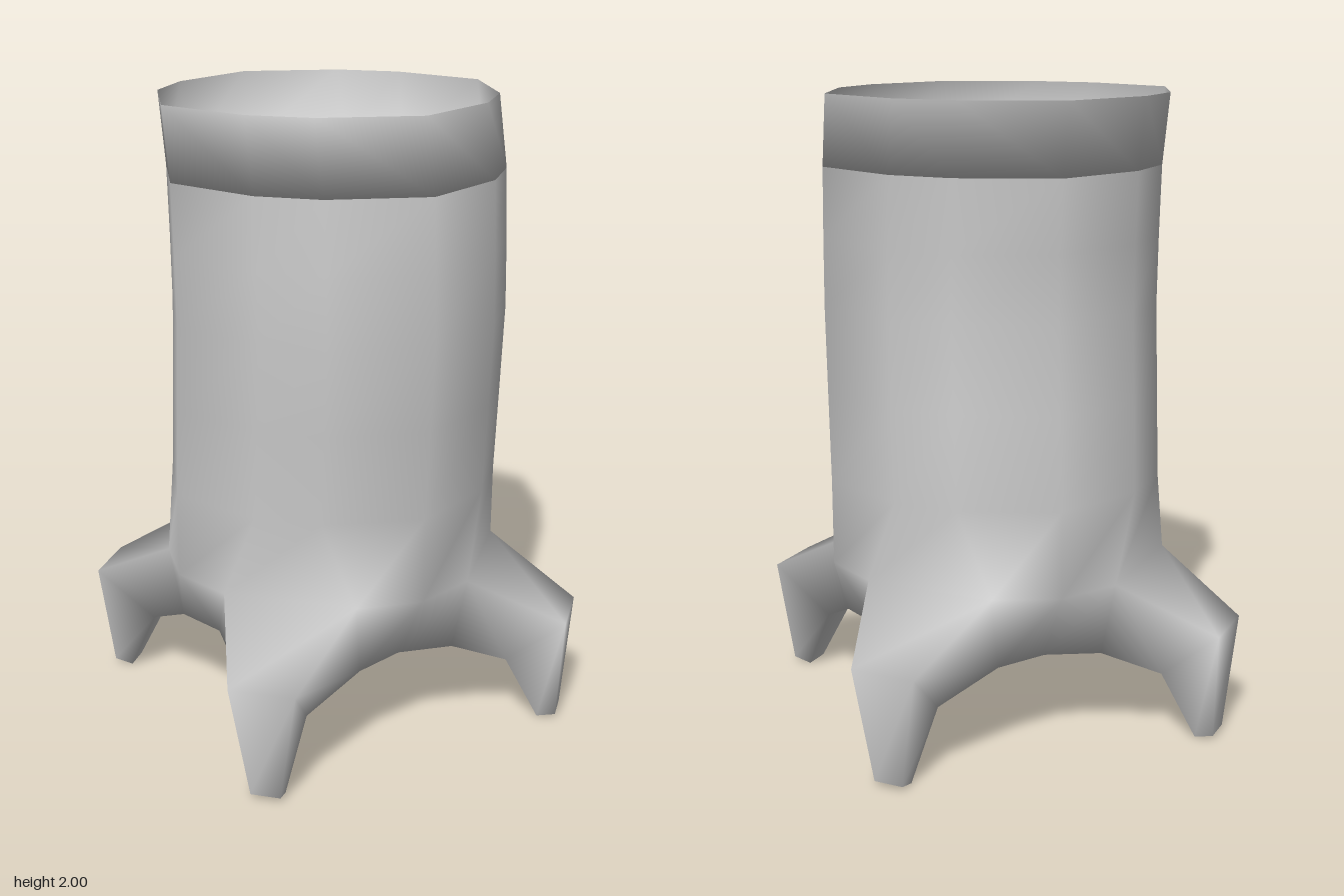
import * as THREE from 'three';
import { mergeGeometries, mergeVertices } from 'three/addons/utils/BufferGeometryUtils.js';

// Skins a series of cross-section rings; optional end fans; skip(i, j) leaves a face open
function loft(rings, { capStart = false, capEnd = false, skip = () => false }) {
  const n = rings[0].length;
  const pos = rings.flat(2);
  const idx = [];
  for (let i = 0; i < rings.length - 1; i++) {
    for (let j = 0; j < n; j++) {
      if (skip(i, j)) continue;
      const a = i * n + j, b = i * n + (j + 1) % n;
      idx.push(a, b, b + n, a, b + n, a + n);
    }
  }
  const cap = (base, flip) => {
    const c = pos.length / 3;
    for (let k = 0; k < 3; k++) {
      let sum = 0;
      for (let j = 0; j < n; j++) sum += pos[(base + j) * 3 + k];
      pos.push(sum / n);
    }
    for (let j = 0; j < n; j++) {
      const a = base + j, b = base + (j + 1) % n;
      if (flip) idx.push(b, a, c); else idx.push(a, b, c);
    }
  };
  if (capStart) cap(0, true);
  if (capEnd) cap((rings.length - 1) * n, false);
  const g = new THREE.BufferGeometry();
  g.setAttribute('position', new THREE.Float32BufferAttribute(pos, 3));
  g.setIndex(idx);
  return g;
}

// Twelve-sided ring from the three points of its first quarter, shifted along z
function ring(y, quarter, dz = 0) {
  const points = [];
  for (const [c, s] of [[1, 0], [0, 1], [-1, 0], [0, -1]]) {
    for (const [x, z] of quarter) points.push([x * c + z * s, y, z * c - x * s + dz]);
  }
  return points;
}
const trunk = [[0, 0.555], [0.29, 0.435], [0.435, 0.29]];

// Leg roots on the diagonals: [distance, height, half width]
const rootTop = [0.495, 0.53, 0.21], rootBottom = [0.45, 0.3, 0.21];
const rootQuarter = ([r, , w], middle) => {
  const a = (r - w) * Math.SQRT1_2, b = (r + w) * Math.SQRT1_2;
  return [[0, middle], [a, b], [b, a]];
};

// Leg cross-section from its outer and inner edges
const legRing = ([ro, yo, wo], [ri, yi, wi]) =>
  [[-wi, yi, ri], [wi, yi, ri], [wo, yo, ro], [-wo, yo, ro]];

export function createModel() {
  const model = new THREE.Group();
  const mat = new THREE.MeshStandardMaterial({ color: 0xcccccc, side: THREE.DoubleSide });
  const add = (name, geo) => {
    geo.computeVertexNormals();
    const m = new THREE.Mesh(geo, mat);
    m.name = name;
    model.add(m);
  };

  // Swaying trunk, open where the legs grow out
  const body = loft([
    ring(rootBottom[1], rootQuarter(rootBottom, 0.42)),
    ring(rootTop[1], rootQuarter(rootTop, 0.555)),
    ring(0.8, trunk, 0.002),
    ring(1.08, trunk, 0.022),
    ring(1.35, trunk, 0.04),
    ring(1.56, trunk, 0.034),
    ring(1.78, trunk, 0.022),
  ], { capStart: true, skip: (i, j) => i === 0 && j % 3 === 1 });

  // Four bent legs, welded to the trunk for continuous shading
  const leg = loft([
    legRing(rootTop, rootBottom),
    legRing([0.795, 0.37, 0.103], [0.605, 0.21, 0.083]),
    legRing([0.768, 0.015, 0.047], [0.708, 0, 0.045]),
  ], { capEnd: true });
  const legs = [1, 3, 5, 7].map((k) => leg.clone().rotateY(k * Math.PI / 4));
  add('bodyWithLegs', mergeVertices(mergeGeometries([body, ...legs])));

  // Thin rim leaning back around a recessed floor
  add('recessedTop', loft([ring(2, trunk, -0.025), ring(1.78, trunk, 0.022)], { capEnd: true }));
  return model;
}
